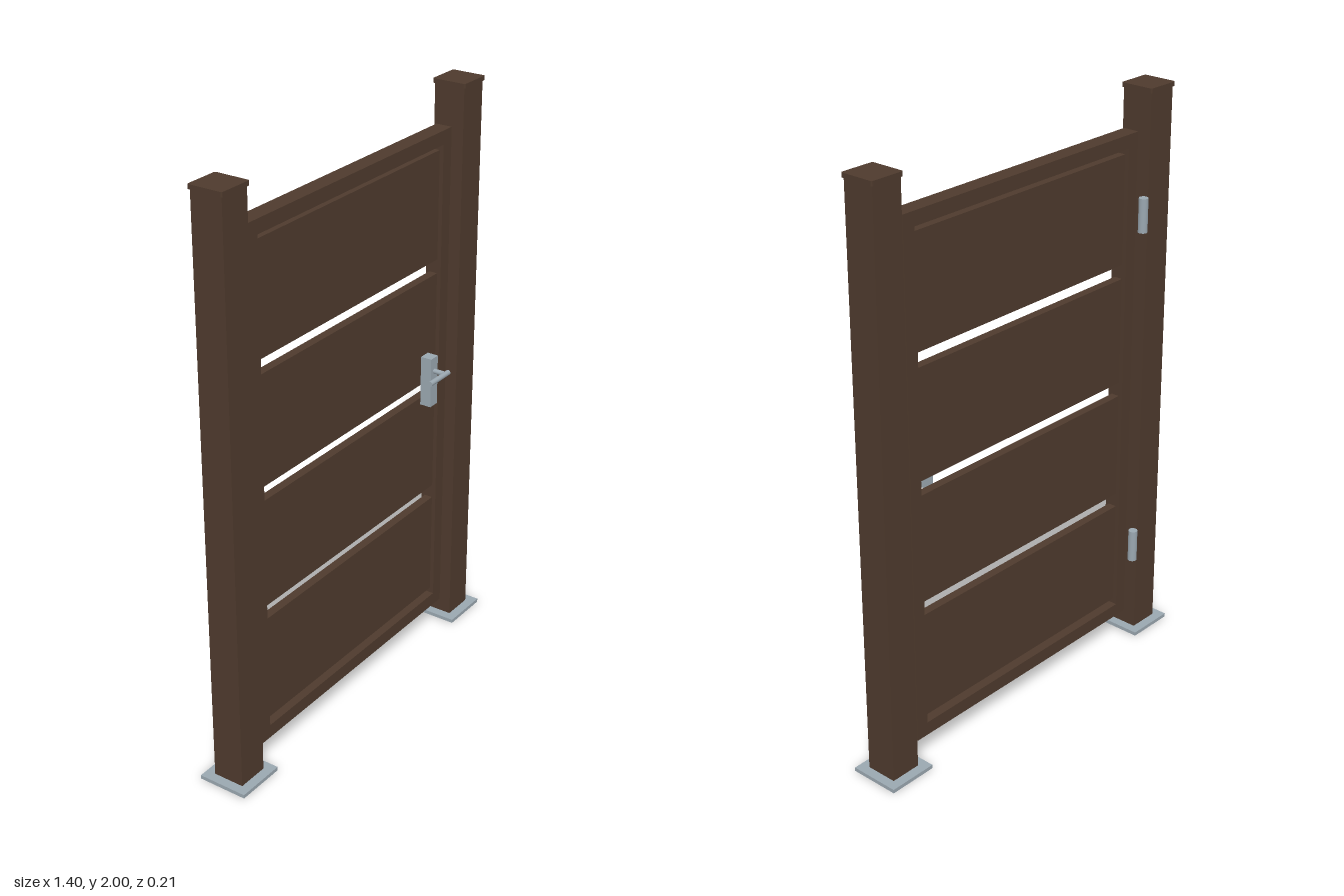
import * as THREE from 'three';

const brown = new THREE.MeshStandardMaterial({ color: 0x4e3a2d });
brown.name = 'brown paint';
const steel = new THREE.MeshStandardMaterial({ color: 0x9aa7b0 });
steel.name = 'steel';

const MID_Z = -0.0165; // shared depth centre of posts and leaf

function rectangle(target, w, h, r = 0) {
  const x = w / 2, y = h / 2;
  target.moveTo(-x + r, -y);
  target.lineTo(x - r, -y);
  if (r) target.quadraticCurveTo(x, -y, x, -y + r);
  target.lineTo(x, y - r);
  if (r) target.quadraticCurveTo(x, y, x - r, y);
  target.lineTo(-x + r, y);
  if (r) target.quadraticCurveTo(-x, y, -x, y - r);
  target.lineTo(-x, -y + r);
  if (r) target.quadraticCurveTo(-x, -y, -x + r, -y);
  return target;
}

// Rectangular ring (or solid when no hole is given), extruded along z from 0
function ring(w, h, depth, holeW = 0, holeH = 0, r = 0) {
  const shape = rectangle(new THREE.Shape(), w, h, r);
  if (holeW) shape.holes.push(rectangle(new THREE.Path(), holeW, holeH));
  return new THREE.ExtrudeGeometry(shape, { depth, bevelEnabled: false, curveSegments: 3 });
}

function add(parent, name, geometry, material, x = 0, y = 0, z = 0) {
  const mesh = new THREE.Mesh(geometry, material);
  mesh.name = name;
  mesh.position.set(x, y, z);
  parent.add(mesh);
  return mesh;
}

function createPost(name, x) {
  const post = new THREE.Group();
  post.name = name;
  post.position.set(x, 0, MID_Z);
  const upright = (geometry) => geometry.rotateX(-Math.PI / 2);
  // Hollow tube, open at the foot
  add(post, 'postTube', upright(ring(0.11, 0.11, 1.983, 0.1, 0.1)), brown, 0, 0.002);
  add(post, 'postCap', upright(ring(0.121, 0.121, 0.015, 0, 0, 0.006)), brown, 0, 1.985);
  add(post, 'basePlate', upright(ring(0.175, 0.175, 0.013, 0.108, 0.108)), steel);
  return post;
}

function createLeaf() {
  const leaf = new THREE.Group();
  leaf.name = 'gateLeaf';
  add(leaf, 'leafFrame', ring(1.058, 1.78, 0.058, 0.966, 1.686), brown, 0, 0.971, MID_Z - 0.029);
  // Four infill panels with open gaps between
  for (let i = 0; i < 4; i++) {
    add(leaf, 'infillPanel', new THREE.BoxGeometry(0.968, 0.375, 0.03), brown,
      0, 0.334 + i * 0.424, MID_Z);
  }
  return leaf;
}

function createHandle() {
  const handle = new THREE.Group();
  handle.name = 'handle';
  add(handle, 'lockPlate', new THREE.BoxGeometry(0.041, 0.176, 0.04), steel, 0.395, 1.022, 0.032);
  const spindle = new THREE.CylinderGeometry(0.0085, 0.0085, 0.046, 16).rotateX(Math.PI / 2);
  add(handle, 'spindle', spindle, steel, 0.395, 1.061, 0.073);
  const lever = new THREE.CylinderGeometry(0.009, 0.009, 0.111, 16).rotateZ(Math.PI / 2);
  add(handle, 'lever', lever, steel, 0.357, 1.061, 0.0955);
  return handle;
}

export function createModel() {
  const gate = new THREE.Group();
  gate.name = 'gardenGate';
  gate.add(createPost('rightPost', -0.612), createPost('leftPost', 0.612));
  gate.add(createLeaf(), createHandle());
  // Hinge barrels behind the gap beside the right post
  for (const y of [0.36, 1.586]) {
    add(gate, 'hinge', new THREE.CylinderGeometry(0.016, 0.016, 0.117, 16), steel, -0.535, y, -0.071);
  }
  return gate;
}
